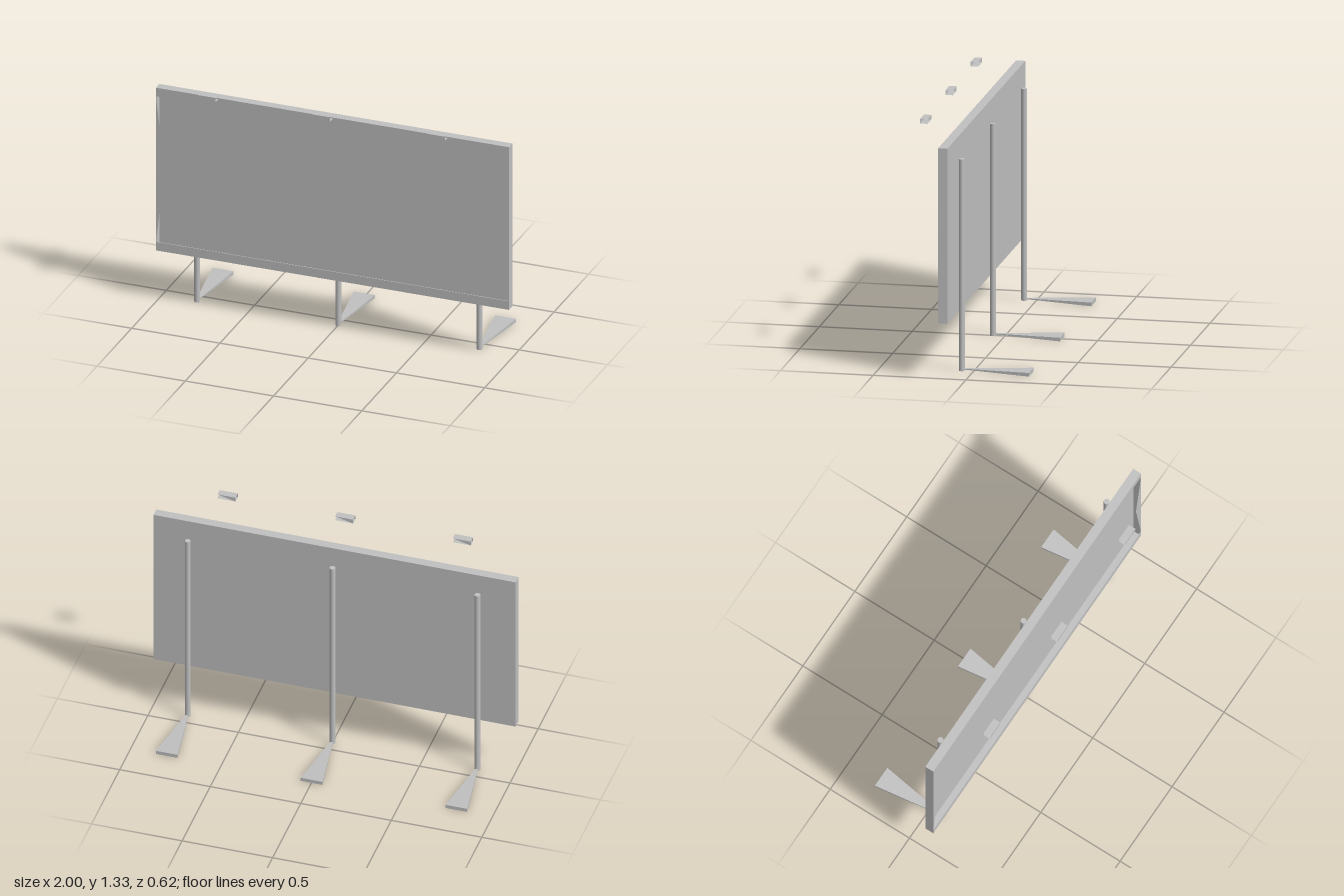
import * as THREE from 'three';

const grey = new THREE.MeshStandardMaterial({ color: 0xc0c0c0, side: THREE.DoubleSide });
grey.name = 'light grey';

export function createModel() {
  const model = new THREE.Group();
  model.name = 'billboard';

  const add = (name, geometry, x = 0, y = 0, z = 0) => {
    const mesh = new THREE.Mesh(geometry, grey);
    mesh.name = name;
    mesh.position.set(x, y, z);
    model.add(mesh);
    return mesh;
  };
  const box = (name, w, h, d, x, y, z) => add(name, new THREE.BoxGeometry(w, h, d), x, y, z);

  // Display board: a shallow tray with its screen set back
  const bottom = 0.3, top = 1.25, mid = (bottom + top) / 2, skin = 0.004;
  box('screen', 2, top - bottom, 0.006, 0, mid, 0.103);

  // Top and bottom rails, each a front strip and an outer ledge
  for (const [name, edge, s] of [['bottom', bottom, 1], ['top', top, -1]]) {
    box(name + 'Rail', 2, 0.05, skin, 0, edge + s * 0.025, 0.148);
    box(name + 'Ledge', 2, skin, 0.05, 0, edge + s * skin / 2, 0.125);
  }

  // End walls with pointed trim plates on the front
  for (const s of [-1, 1]) {
    box('endWall', skin, top - bottom, 0.05, s * (1 - skin / 2), mid, 0.125);
    const trim = new THREE.Shape([
      new THREE.Vector2(s, 0.35),
      new THREE.Vector2(s * 0.95, 0.78),
      new THREE.Vector2(s, 1.2),
    ]);
    add('sideTrim', new THREE.ShapeGeometry(trim), 0, 0, 0.15);
  }

  // Foot: a slab narrowing to a point under the post
  const footGeometry = new THREE.BoxGeometry(0.12, 0.02, 0.39);
  const p = footGeometry.attributes.position;
  for (let i = 0; i < p.count; i++) {
    if (p.getZ(i) > 0) p.setXY(i, p.getX(i) * 0.04, p.getY(i) * 0.15);
  }
  footGeometry.computeVertexNormals();

  // Posts and feet
  for (const x of [-0.8, 0, 0.8]) {
    add('post', new THREE.CylinderGeometry(0.016, 0.016, 1.15, 12), x, 0.575, 0.064);
    add('foot', footGeometry, x, 0.01, -0.115);
  }

  // Lamps: open-ended housings with a slanted back plate
  const lampGeometry = new THREE.BoxGeometry(0.1, 0.025, 0.04);
  const faces = Array.from(lampGeometry.index.array);
  lampGeometry.setIndex([...faces.slice(12, 30), 20, 23, 21]);
  lampGeometry.clearGroups();
  for (const x of [-0.65, 0, 0.65]) add('lamp', lampGeometry, x, 1.3175, 0.29);

  return model;
}
